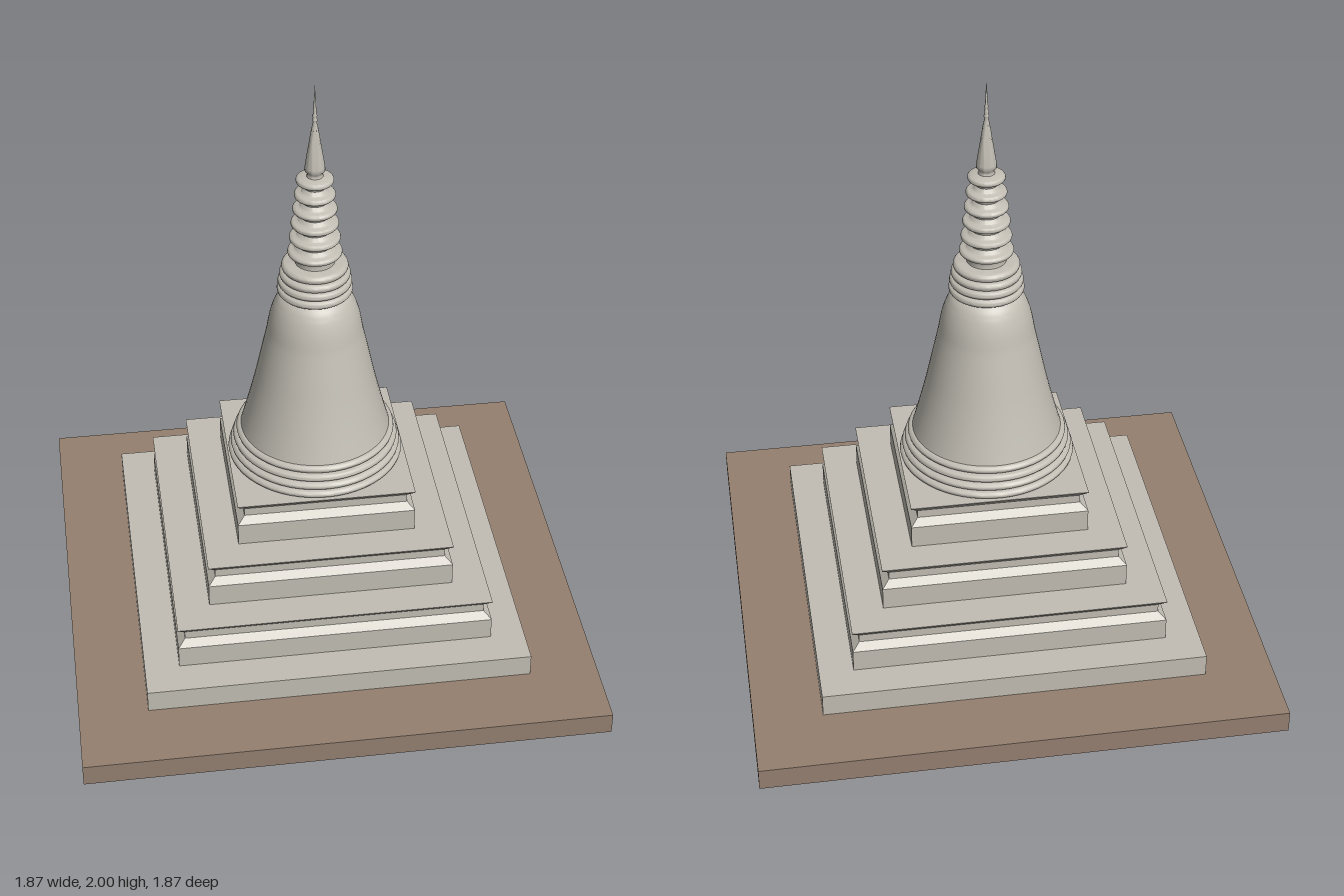
import * as THREE from 'three';
import { toCreasedNormals } from 'three/addons/utils/BufferGeometryUtils.js';

export function createModel() {
  const stone = new THREE.MeshStandardMaterial({ color: 0xc2beb4 });
  stone.name = 'pale stone';
  const brick = new THREE.MeshStandardMaterial({ color: 0x948070 });
  brick.name = 'brown paving';

  const model = new THREE.Group();
  model.name = 'stupa';
  const terraces = new THREE.Group();
  terraces.name = 'terraces';
  terraces.rotation.y = THREE.MathUtils.degToRad(5);
  model.add(terraces);

  function add(parent, name, geometry, material) {
    const mesh = new THREE.Mesh(geometry, material);
    mesh.name = name;
    parent.add(mesh);
    return mesh;
  }

  // Turned part from [radius, height] pairs, bottom to top
  function turned(name, pairs, crease = 0.6) {
    const pts = pairs.map(([r, y]) => new THREE.Vector2(r, y));
    return add(model, name, toCreasedNormals(new THREE.LatheGeometry(pts, 56), crease), stone);
  }

  // Half-round bulge used for every ring moulding
  function bulge(r, y, halfHeight, depth, steps = 8) {
    const pts = [];
    for (let i = 0; i <= steps; i++) {
      const a = -Math.PI / 2 + (Math.PI * i) / steps;
      pts.push([r - depth + depth * Math.cos(a), y + halfHeight * Math.sin(a)]);
    }
    return pts;
  }

  // Square paving, with a plain stone underside, and the plinth above it
  add(terraces, 'paving', new THREE.BoxGeometry(1.726, 0.075, 1.726),
    [brick, brick, brick, stone, brick, brick]).position.y = 0.0375;
  add(terraces, 'plinth', new THREE.BoxGeometry(1.272, 0.077, 1.272), stone).position.y = 0.1135;

  // Three square terraces: wall, set-back band and flared cornice
  [[0.522, 0.15], [0.407, 0.305], [0.295, 0.46]].forEach(([half, y], i) => {
    const inner = half - 0.024;
    const pts = [[0, 0], [half, 0], [half, 0.078], [inner, 0.1], [inner, 0.128],
      [half, 0.153], [half, 0.155], [0, 0.155]]
      .map(([r, h]) => new THREE.Vector2(r * Math.SQRT2, y + h));
    const geometry = new THREE.LatheGeometry(pts, 4, Math.PI / 4);
    add(terraces, 'terrace' + (i + 1), toCreasedNormals(geometry, 0.1), stone);
  });

  // Ring mouldings under the bell
  const footRings = [];
  [0.292, 0.284, 0.275, 0.264].forEach((r, i) => {
    footRings.push(...bulge(r, 0.629 + i * 0.027, 0.0135, 0.018));
  });
  turned('footRings', [[0, 0.615], ...footRings, [0, 0.724]]);

  // Bell body with rounded shoulder
  const flank = new THREE.SplineCurve([[0.252, 0.71], [0.227, 0.8], [0.202, 0.9], [0.18, 1.0],
    [0.158, 1.1]].map((p) => new THREE.Vector2(...p))).getPoints(16);
  const shoulder = new THREE.SplineCurve([[0.158, 1.1], [0.148, 1.155], [0.134, 1.2], [0.118, 1.23],
    [0.1, 1.247]].map((p) => new THREE.Vector2(...p))).getPoints(14);
  turned('bell', [...flank, ...shoulder.slice(1)].map((p) => [p.x, p.y]).concat([[0, 1.25]]));

  // Stacked rings on the shoulder
  const collar = [];
  [0.123, 0.12, 0.115, 0.108].forEach((r, i) => {
    collar.push(...bulge(r, 1.262 + i * 0.0285, 0.01425, 0.016));
  });
  turned('collarRings', [[0, 1.247], ...collar, [0, 1.362]]);

  // Tapering spire of rings separated by hollow necks
  const spire = [[0.066, 1.355]];
  for (let i = 0; i < 6; i++) {
    const y = 1.4 + i * 0.0525;
    const r = 0.088 - i * 0.0055;
    spire.push([r - 0.026, y - 0.026], [r - 0.022, y - 0.016]);
    spire.push(...bulge(r, y, 0.011, 0.013));
    spire.push([r - 0.022, y + 0.014]);
  }
  turned('ringedSpire', [...spire, [0, 1.677]]);

  // Finial: bud, cone and beaded needle
  turned('finial', [[0.03, 1.67], [0.024, 1.682], [0.026, 1.69], [0.033, 1.698], [0.032, 1.71],
    [0.026, 1.75], [0.018, 1.8], [0.011, 1.845], [0.007, 1.862], [0.006, 1.868], [0.009, 1.875],
    [0.006, 1.882], [0.008, 1.89], [0.005, 1.898], [0.006, 1.908], [0.004, 1.92], [0.003, 1.95],
    [0.0012, 1.975], [0, 2.0]], 0.9);

  return model;
}
